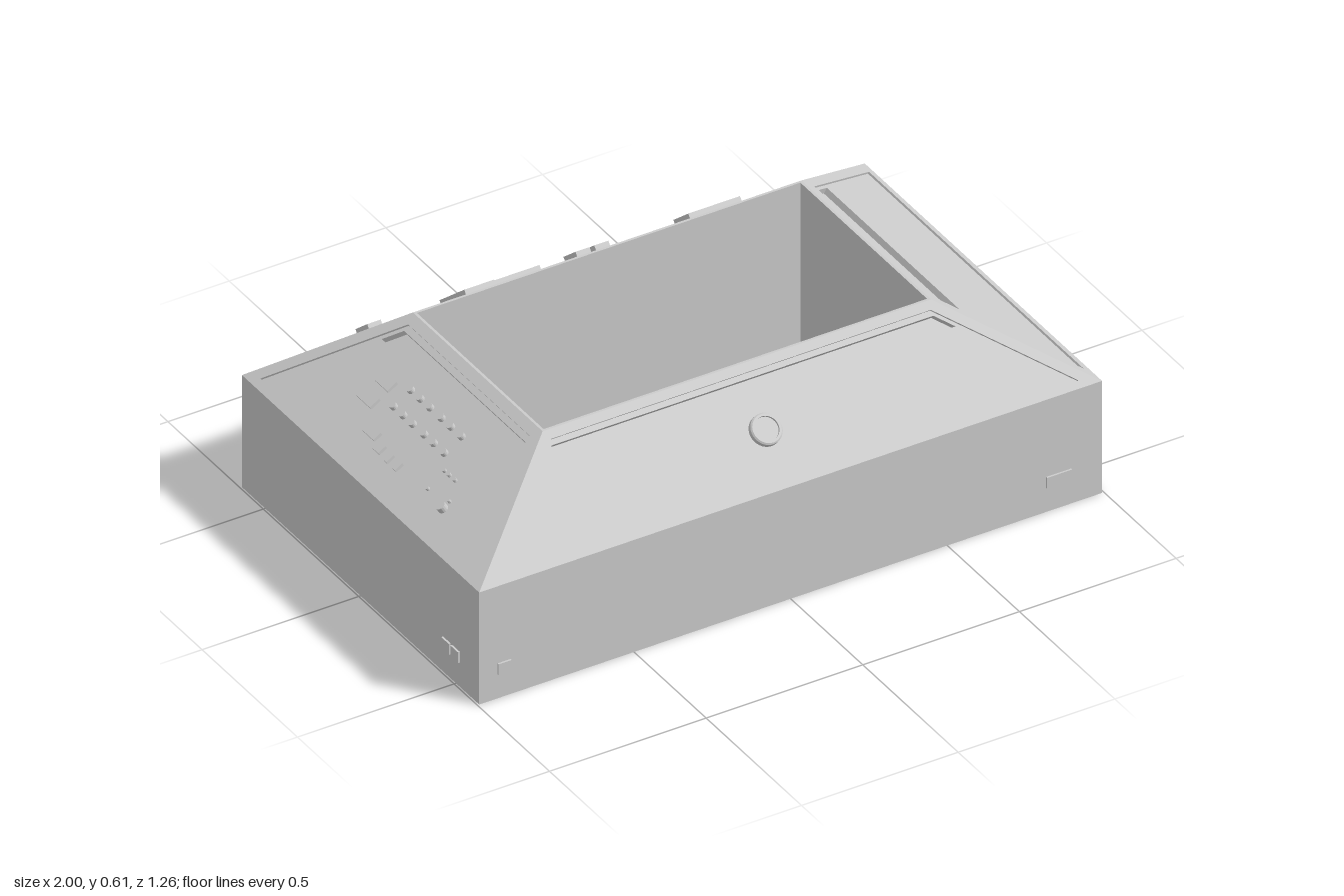
import * as THREE from 'three';

const material = new THREE.MeshStandardMaterial({ color: 0xcccccc, side: THREE.DoubleSide, flatShading: true });
const X0 = 0.994, Z0 = 0.622;   // outer half sizes
const X1 = 0.62, Z1 = 0.34;     // half sizes at the top of the slopes
const WALL = 0.368, TOP = 0.605, WELL_BOTTOM = 0.08, RIM = 0.008;

function add(parent, name, geometry, x = 0, y = 0, z = 0) {
  const mesh = new THREE.Mesh(geometry, material);
  mesh.name = name;
  mesh.position.set(x, y, z);
  parent.add(mesh);
  return mesh;
}

function polygon(points, Type = THREE.Shape) {
  return new Type(points.map(([x, y]) => new THREE.Vector2(x, y)));
}

function extrude(shape, depth) {
  return new THREE.ExtrudeGeometry(shape, { depth, bevelEnabled: false });
}

// One side: outer wall, sloped bezel with recessed panel and slot, and inner well wall.
// Returns the slope group: x along the edge, y up the slope, z outward.
function makeSide(model, name, angle, half0, half1, out0, out1) {
  const side = new THREE.Group();
  side.name = name;
  side.rotation.y = angle;
  model.add(side);

  add(side, 'outerWall', new THREE.PlaneGeometry(2 * half0, WALL), 0, WALL / 2, out0);
  add(side, 'wellWall', new THREE.PlaneGeometry(2 * (half1 - RIM), TOP - WELL_BOTTOM),
    0, (TOP + WELL_BOTTOM) / 2, out1 - RIM);

  const run = out0 - out1, rise = TOP - WALL, length = Math.hypot(run, rise);
  const slope = new THREE.Group();
  slope.name = name + 'Slope';
  slope.position.set(0, WALL, out0);
  slope.rotation.x = -Math.atan2(run, rise);
  side.add(slope);

  // Trapezoid between two fractions of the slope, inset from the mitred ends
  const trapezoid = (t0, t1, inset) => {
    const a = half0 + (half1 - half0) * t0 - inset;
    const b = half0 + (half1 - half0) * t1 - inset;
    return [[-a, t0 * length], [a, t0 * length], [b, t1 * length], [-b, t1 * length]];
  };
  const panelEdge = trapezoid(0.06, 0.925, 0.042);
  const slotEdge = trapezoid(0.75, 0.88, 0.056);

  const bezel = polygon(trapezoid(0, 1, 0));
  bezel.holes.push(polygon(panelEdge, THREE.Path));
  add(slope, 'bezel', extrude(bezel, 0.006), 0, 0, -0.006);

  const panel = polygon(panelEdge);
  panel.holes.push(polygon(slotEdge, THREE.Path));
  add(slope, 'recessedPanel', extrude(panel, 0.018), 0, 0, -0.024);
  add(slope, 'slotFloor', new THREE.ShapeGeometry(polygon(slotEdge)), 0, 0, -0.024);

  // Height up the slope for a horizontal distance from the centre
  slope.userData.up = d => (out0 - d) * length / run;
  return slope;
}

// Raised block on a slope, between two positions along it and two distances from the centre
function block(slope, name, u0, u1, d0, d1, height) {
  const v0 = slope.userData.up(d0), v1 = slope.userData.up(d1);
  add(slope, name, new THREE.BoxGeometry(Math.abs(u1 - u0), Math.abs(v1 - v0), height + 0.006),
    (u0 + u1) / 2, (v0 + v1) / 2, (height - 0.006) / 2);
}

function knob(slope, name, u, d, radius, height, sides = 16) {
  const mesh = add(slope, name, new THREE.CylinderGeometry(radius, radius, height + 0.006, sides),
    u, slope.userData.up(d), (height - 0.006) / 2);
  mesh.rotation.x = Math.PI / 2;
}

export function createModel() {
  const model = new THREE.Group();
  model.name = 'slopedConsoleFrame';

  const front = makeSide(model, 'front', 0, X0, X1, Z0, Z1);
  const back = makeSide(model, 'back', Math.PI, X0, X1, Z0, Z1);
  makeSide(model, 'left', Math.PI / 2, Z0, Z1, X0, X1);
  const right = makeSide(model, 'right', -Math.PI / 2, Z0, Z1, X0, X1);

  // Narrow flat rim around the opening
  const rect = (x, z) => [[-x, -z], [x, -z], [x, z], [-x, z]];
  const rim = polygon(rect(X1, Z1));
  rim.holes.push(polygon(rect(X1 - RIM, Z1 - RIM), THREE.Path));
  add(model, 'topRim', new THREE.ShapeGeometry(rim), 0, TOP, 0).rotation.x = -Math.PI / 2;

  // Round front button with a raised ring
  const v = front.userData.up(0.49);
  knob(front, 'frontButton', 0, 0.49, 0.036, 0.006, 32);
  const ring = [[0.036, -0.006], [0.047, -0.006], [0.047, 0.009], [0.043, 0.013], [0.036, 0.013], [0.036, -0.006]];
  add(front, 'buttonRing', new THREE.LatheGeometry(ring.map(p => new THREE.Vector2(...p)), 32), 0, v, 0)
    .rotation.x = Math.PI / 2;

  // Raised blocks on the back slope: x from, x to, distance from, distance to
  for (const [x0, x1, d0, d1] of [
    [-0.64, -0.597, 0.597, 0.535], [-0.385, -0.29, 0.575, 0.445], [-0.28, -0.113, 0.575, 0.497],
    [-0.035, 0.01, 0.5, 0.437], [0.025, 0.07, 0.5, 0.437], [0.33, 0.495, 0.523, 0.445],
  ]) block(back, 'backBlock', -x0, -x1, d0, d1, 0.018);

  // Controls on the right slope
  for (const z of [-0.13, -0.08, -0.03, 0.03, 0.08, 0.135])
    for (const d of [0.81, 0.755]) knob(right, 'controlKnob', z, d, 0.011, 0.008);
  for (const [z0, z1, d0, d1] of [
    [-0.255, -0.185, 0.85, 0.82], [-0.255, -0.185, 0.795, 0.765],
    [-0.145, -0.085, 0.9, 0.876], [-0.07, -0.035, 0.915, 0.891],
    [-0.004, 0.012, 0.918, 0.894], [0.042, 0.058, 0.918, 0.894],
  ]) block(right, 'controlKey', z0, z1, d0, d1, 0.004);
  for (const [z, d] of [[0.185, 0.84], [0.21, 0.84], [0.24, 0.84], [0.19, 0.897]])
    knob(right, 'indicator', z, d, 0.006, 0.004, 12);
  knob(right, 'dial', 0.285, 0.907, 0.015, 0.014);
  knob(right, 'dialStop', 0.285, 0.885, 0.005, 0.006, 8);

  // Small sockets low on the outer walls
  const socketY = 0.097, socketH = 0.036, t = 0.012;
  for (const [x, w] of [[-0.915, 0.042], [0.855, 0.08]])
    add(model, 'frontSocket', new THREE.BoxGeometry(w, socketH, t), x, socketY, Z0);
  for (let i = 0; i < 5; i++)
    add(model, 'backSocket', new THREE.BoxGeometry(0.039, socketH, t), -0.883 + i * 0.046, socketY, -Z0);
  for (const s of [-1, 1])
    for (const z of [0.452, 0.5])
      add(model, 'sideSocket', new THREE.BoxGeometry(t, socketH, 0.04), s * X0, socketY, -s * z);

  return model;
}
